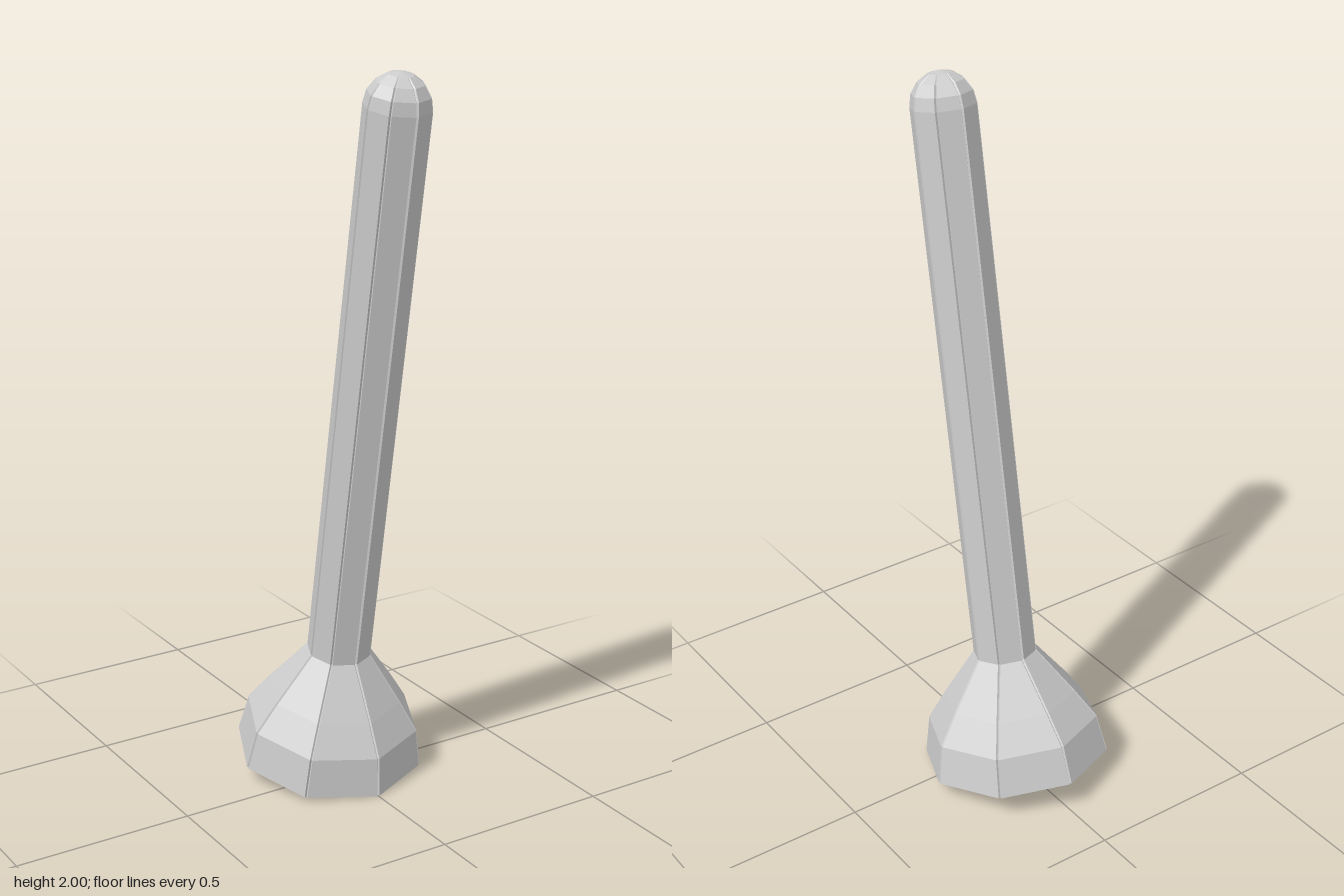
import * as THREE from 'three';

const SIDES = 8;
const material = new THREE.MeshStandardMaterial({ color: 0xcccccc, flatShading: true });

// Octagonal ring at height s; groove > 0 cuts a narrow notch into each corner
function ring(r, s, groove) {
  const pts = [];
  const w = groove * Math.min(0.004, r * 0.08), d = groove * Math.min(0.007, r * 0.1);
  const corner = (k) => {
    const a = (k / SIDES) * Math.PI * 2;
    return new THREE.Vector3(r * Math.sin(a), s, r * Math.cos(a));
  };
  for (let k = 0; k < SIDES; k++) {
    const c = corner(k);
    const toward = (n) => corner(n).sub(c).normalize().multiplyScalar(w).add(c);
    const a = (k / SIDES) * Math.PI * 2;
    pts.push(
      toward(k - 1),
      new THREE.Vector3((r - d) * Math.sin(a), s, (r - d) * Math.cos(a)),
      toward(k + 1),
    );
  }
  return pts;
}

// Skin a list of [radius, height, groove] rings
function loft(name, profile) {
  const rings = profile.map(([r, s, g = 1]) => ring(r, s, g));
  const pos = [];
  const tri = (a, b, c) => {
    const area = b.clone().sub(a).cross(c.clone().sub(a)).length();
    if (area > 1e-9) for (const p of [a, b, c]) pos.push(p.x, p.y, p.z);
  };
  for (let i = 0; i < rings.length - 1; i++) {
    const lo = rings[i], hi = rings[i + 1], n = lo.length;
    for (let j = 0; j < n; j++) {
      const k = (j + 1) % n;
      tri(lo[j], lo[k], hi[k]);
      tri(lo[j], hi[k], hi[j]);
    }
  }
  const geometry = new THREE.BufferGeometry();
  geometry.setAttribute('position', new THREE.Float32BufferAttribute(pos, 3));
  geometry.computeVertexNormals();
  const mesh = new THREE.Mesh(geometry, material);
  mesh.name = name;
  return mesh;
}

export function createModel() {
  const model = new THREE.Group();
  model.name = 'plunger';

  // Everything is built upright around the rim centre, then leaned forward
  const tilted = new THREE.Group();
  tilted.name = 'tiltedPlunger';
  tilted.position.set(0, 0.048, -0.08);
  tilted.rotation.x = THREE.MathUtils.degToRad(10);
  model.add(tilted);

  // Hollow cup: inner ceiling, inner wall, flat rim, outer lip and shoulder
  tilted.add(loft('cup', [
    [0, 0.25, 0],
    [0.08, 0.25, 0],
    [0.165, 0.11, 0],
    [0.185, 0, 0],
    [0.267, 0],
    [0.246, 0.11],
    [0.19, 0.192],
    [0.091, 0.325],
  ]));

  // Long handle with a rounded end
  const handle = [[0.091, 0.325]];
  const radius = 0.09, domeBase = 1.892, steps = 4;
  for (let i = 0; i <= steps; i++) {
    const a = (i / steps) * Math.PI / 2;
    handle.push([i === steps ? 0 : radius * Math.cos(a), domeBase + radius * Math.sin(a)]);
  }
  tilted.add(loft('handle', handle));

  return model;
}
